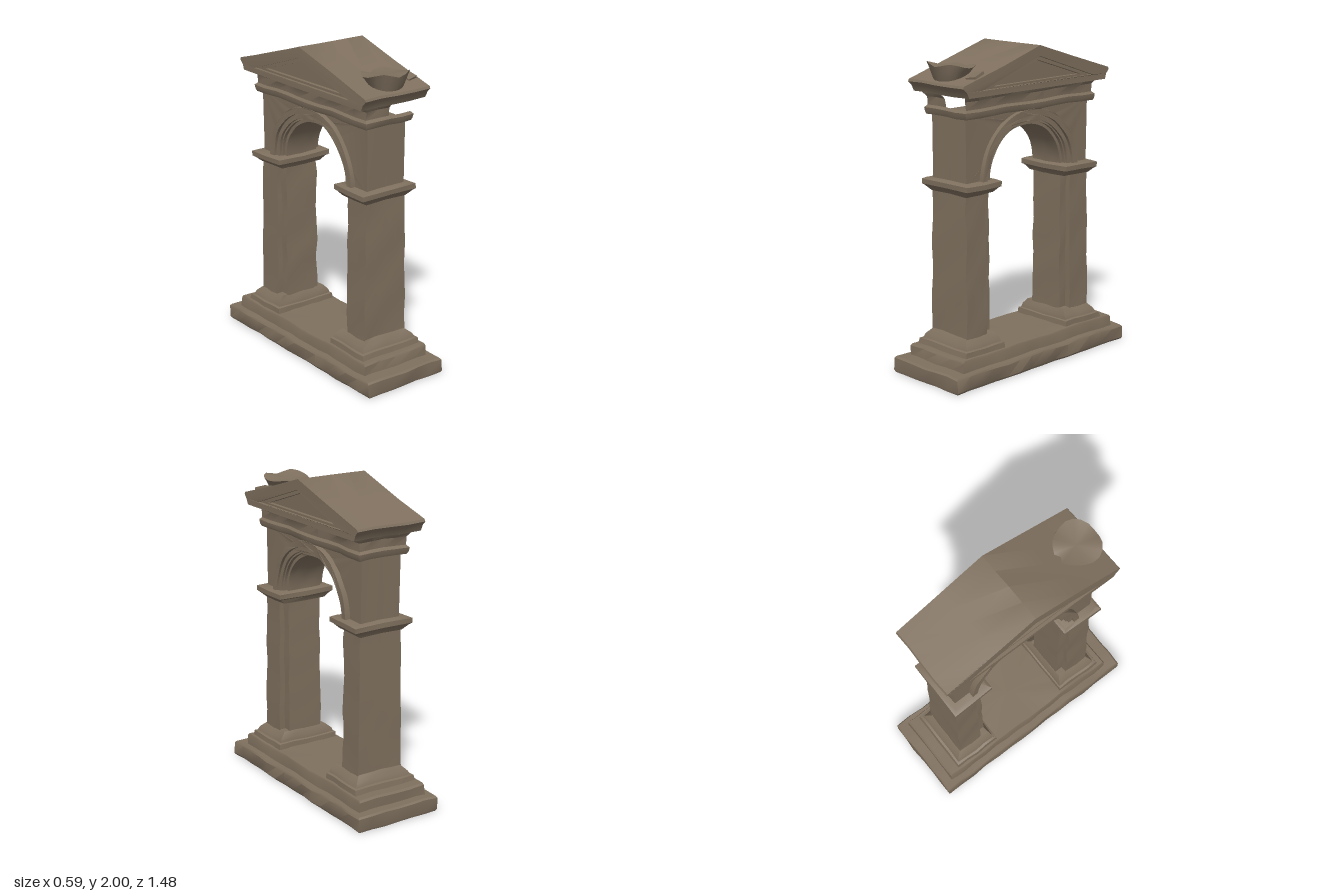
import * as THREE from 'three';
import { toCreasedNormals } from 'three/addons/utils/BufferGeometryUtils.js';

// Gentle erosion: offset depends only on position, so shared edges stay closed.
function weather(geo, amp = 0.006) {
  const p = geo.attributes.position;
  for (let i = 0; i < p.count; i++) {
    const x = p.getX(i), y = p.getY(i), z = p.getZ(i);
    const dx = Math.sin(y * 17 + z * 11) * Math.sin(z * 23 + x * 9 + 1);
    const dy = Math.sin(x * 19 + z * 13 + 2) * 0.5;
    const dz = Math.sin(y * 21 + x * 14) * Math.sin(x * 27 + y * 5 + 2);
    const free = y > 0.001 && y < 1.98;
    p.setXYZ(i, x + dx * amp, y + (free ? dy * amp : 0), z + dz * amp);
  }
  return toCreasedNormals(geo, 0.6);
}

// Rectangular rings [y, x0, x1, z0, z1] joined from bottom to top and capped.
// isOpen(x, y, z) may leave out wall faces.
function stack(levels, isOpen = () => false) {
  const rings = [levels[0]];
  for (let i = 1; i < levels.length; i++) {
    const a = levels[i - 1], b = levels[i];
    const n = Math.max(1, Math.round((b[0] - a[0]) / 0.11));
    for (let k = 1; k <= n; k++) rings.push(a.map((v, j) => v + (b[j] - v) * k / n));
  }
  const [, X0, X1, Z0, Z1] = levels[0];
  const nx = Math.max(2, 2 * Math.round((X1 - X0) / 0.2));
  const nz = Math.max(2, 2 * Math.round((Z1 - Z0) / 0.2));
  const pos = [], idx = [], n = 2 * (nx + nz);
  for (const [y, x0, x1, z0, z1] of rings) {
    const side = (ax, az, bx, bz, m) => {
      for (let k = 0; k < m; k++) pos.push(ax + (bx - ax) * k / m, y, az + (bz - az) * k / m);
    };
    side(x1, z0, x1, z1, nz);
    side(x1, z1, x0, z1, nx);
    side(x0, z1, x0, z0, nz);
    side(x0, z0, x1, z0, nx);
  }
  for (let r = 0; r < rings.length - 1; r++) {
    for (let i = 0; i < n; i++) {
      const a = r * n + i, b = r * n + (i + 1) % n, c = b + n, d = a + n;
      const mid = (j) => (pos[a * 3 + j] + pos[b * 3 + j] + pos[c * 3 + j] + pos[d * 3 + j]) / 4;
      if (!isOpen(mid(0), mid(1), mid(2))) idx.push(a, d, b, b, d, c);
    }
  }
  const top = (rings.length - 1) * n, c0 = pos.length / 3;
  for (const [y, x0, x1, z0, z1] of [rings[0], rings[rings.length - 1]]) {
    pos.push((x0 + x1) / 2, y, (z0 + z1) / 2);
  }
  for (let i = 0; i < n; i++) {
    const j = (i + 1) % n;
    idx.push(c0, i, j, c0 + 1, top + j, top + i);
  }
  const geo = new THREE.BufferGeometry();
  geo.setAttribute('position', new THREE.Float32BufferAttribute(pos, 3));
  geo.setIndex(idx);
  return weather(geo);
}

// Outline drawn in (z, y), extruded symmetrically across x.
function slab(shape, halfX) {
  const geo = new THREE.ExtrudeGeometry(shape, {
    depth: halfX * 2, steps: 4, bevelEnabled: false, curveSegments: 28,
  });
  geo.rotateY(-Math.PI / 2).translate(halfX, 0, 0);
  return weather(geo, 0.004);
}

const polygon = (pts) => new THREE.Shape(pts.map(([z, y]) => new THREE.Vector2(z, y)));

export function createModel() {
  const group = new THREE.Group();
  const stone = new THREE.MeshStandardMaterial({ color: 0x7f705e });
  stone.name = 'weathered brown stone';
  const add = (name, geo) => {
    const mesh = new THREE.Mesh(geo, stone);
    mesh.name = name;
    group.add(mesh);
    return mesh;
  };

  // Stepped base
  add('baseSlab', stack([[0, -0.28, 0.28, -0.73, 0.73], [0.015, -0.29, 0.29, -0.735, 0.735],
    [0.09, -0.29, 0.29, -0.735, 0.735], [0.1, -0.283, 0.283, -0.725, 0.725]]));
  add('upperStep', stack([[0.09, -0.245, 0.245, -0.67, 0.645], [0.16, -0.24, 0.24, -0.67, 0.64],
    [0.172, -0.235, 0.235, -0.66, 0.63]]));

  // Two piers with foot, recessed jamb and capital
  for (const s of [1, -1]) {
    const side = s > 0 ? 'front' : 'back';
    const level = (y, hx, near, far) =>
      [y, -hx, hx, Math.min(s * near, s * far), Math.max(s * near, s * far)];
    add(side + 'PierFoot', stack([level(0.16, 0.22, 0.27, 0.6), level(0.205, 0.215, 0.275, 0.59),
      level(0.21, 0.2, 0.285, 0.575), level(0.235, 0.19, 0.29, 0.565), level(0.27, 0.155, 0.31, 0.535)]));
    add(side + 'Pier', stack([level(0.25, 0.16, 0.365, 0.533), level(0.7, 0.152, 0.367, 0.53),
      level(1.18, 0.147, 0.37, 0.525)]));
    add(side + 'Jamb', stack([level(0.25, 0.12, 0.31, 0.4), level(1.18, 0.115, 0.312, 0.4)]));
    add(side + 'Capital', stack([level(1.14, 0.15, 0.31, 0.53), level(1.17, 0.185, 0.295, 0.55),
      level(1.18, 0.2, 0.28, 0.562), level(1.21, 0.2, 0.28, 0.562), level(1.22, 0.175, 0.3, 0.54)]));
  }

  // Arched wall with stepped mouldings around the opening
  const wall = polygon([[0.33, 1.2], [0.52, 1.2], [0.525, 1.62], [-0.525, 1.62], [-0.52, 1.2], [-0.33, 1.2]]);
  wall.absarc(0, 1.2, 0.33, Math.PI, 0, true);
  add('archWall', slab(wall, 0.14));
  for (const [name, inner, outer, halfX] of [['archSoffit', 0.31, 0.37, 0.12],
    ['innerArchMoulding', 0.34, 0.4, 0.155], ['outerArchMoulding', 0.37, 0.41, 0.173]]) {
    const ring = new THREE.Shape();
    ring.absarc(0, 1.2, outer, 0, Math.PI, false);
    ring.absarc(0, 1.2, inner, Math.PI, 0, true);
    add(name, slab(ring, halfX));
  }

  // Entablature, its front end broken open on the left half
  const band = (y, x, z) => [y, -x, x, -z, z];
  add('entablature', stack([band(1.605, 0.168, 0.545), band(1.62, 0.175, 0.552), band(1.645, 0.178, 0.558),
    band(1.66, 0.165, 0.54), band(1.71, 0.168, 0.543), band(1.735, 0.187, 0.565), band(1.765, 0.19, 0.57)],
  (x, y, z) => x > 0 && y > 1.66 && z > 0.53));

  // Gabled roof with raking cornice and sunken pediment
  const gable = polygon([[-0.585, 1.74], [0.585, 1.74], [0.6, 1.775], [0.625, 1.8], [0.618, 1.814],
    [0.3, 1.907], [0, 2], [-0.3, 1.907], [-0.618, 1.814], [-0.625, 1.8], [-0.6, 1.775]]);
  const frame = gable.clone();
  frame.holes.push(polygon([[-0.47, 1.777], [0, 1.935], [0.47, 1.777]]));
  add('roofCornice', slab(frame, 0.24));
  const innerFrame = polygon([[-0.54, 1.765], [0.54, 1.765], [0, 1.95]]);
  innerFrame.holes.push(polygon([[-0.37, 1.79], [0, 1.912], [0.37, 1.79]]));
  add('pedimentMoulding', slab(innerFrame, 0.222));
  add('pedimentPanel', slab(polygon([[-0.5, 1.765], [0.5, 1.765], [0, 1.94]]), 0.2));

  // Broken ornament overhanging the front eave
  const lump = new THREE.CylinderGeometry(1, 0.68, 1, 20, 3);
  const p = lump.attributes.position;
  for (let i = 0; i < p.count; i++) {
    const u = p.getX(i), v = p.getZ(i), t = p.getY(i) + 0.5;
    const z = 0.49 + v * 0.14;
    const low = 1.975 - 0.305 * z, high = 1.905 + v * 0.014 - 0.012 * Math.cos(u * 5);
    p.setXYZ(i, u * 0.145 * (1 + 0.18 * v), low + (high - low) * t, z);
  }
  add('brokenOrnament', weather(lump, 0.005));

  // Loose chip beside the ornament
  const chip = add('stoneChip', new THREE.BoxGeometry(0.07, 0.03, 0.09));
  chip.position.set(0.185, 1.853, 0.48);
  chip.rotation.set(0.3, 0.2, 0.1);

  return group;
}
